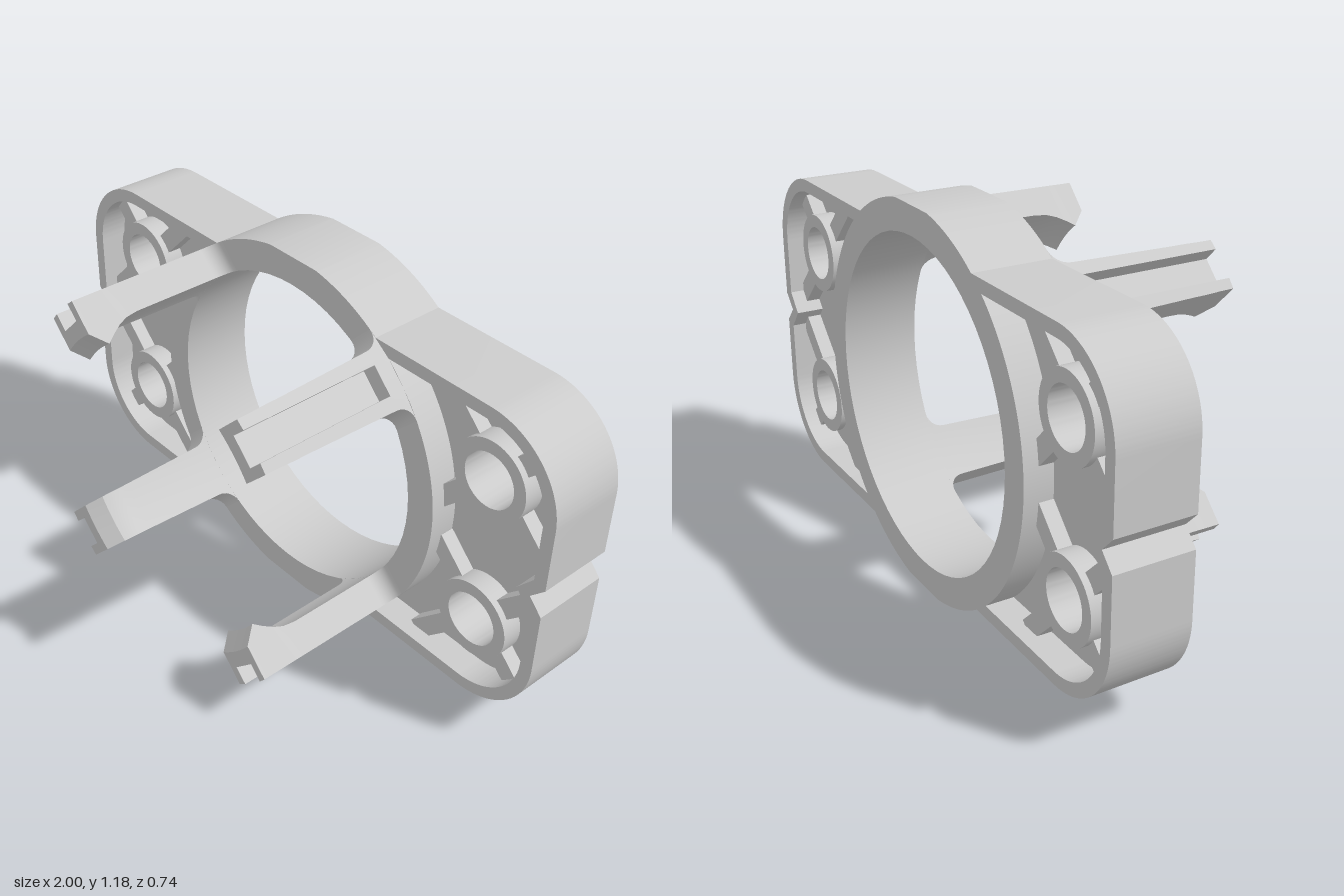
import * as THREE from 'three';
import { toCreasedNormals } from 'three/addons/utils/BufferGeometryUtils.js';

const PI = Math.PI;
const BACK = -0.37, FRONT = -0.13;       // depth range of the frame
const BORE = 0.505, RING = 0.6;          // inner and outer ring radius
const HALF_H = 0.495, TOP = 0.5925;      // half heights of the ears and of the ring
const material = new THREE.MeshStandardMaterial({ color: 0xcccccc });

function extrude(name, shape, z0, z1) {
  const geo = new THREE.ExtrudeGeometry(shape, { depth: z1 - z0, bevelEnabled: false, curveSegments: 32 });
  geo.translate(0, 0, z0);
  const mesh = new THREE.Mesh(toCreasedNormals(geo, 0.5), material);
  mesh.name = name;
  return mesh;
}

function circlePath(x, y, r, Type = THREE.Path) {
  const p = new Type();
  p.absarc(x, y, r, 0, 2 * PI, false);
  return p;
}

// Ring with a rounded, notched mounting ear on each side
function outline() {
  const a0 = Math.asin(HALF_H / RING), a1 = Math.asin(TOP / RING);
  const cx = 0.75, cy = 0.245, r = 0.25, n = 0.0475;
  const s = new THREE.Shape();
  s.moveTo(0.955, 0);
  s.lineTo(1, n);
  s.absarc(cx, cy, r, 0, PI / 2, false);
  s.absarc(0, 0, RING, a0, a1, false);
  s.absarc(0, 0, RING, PI - a1, PI - a0, false);
  s.absarc(-cx, cy, r, PI / 2, PI, false);
  s.lineTo(-1, n);
  s.lineTo(-0.955, 0);
  s.lineTo(-1, -n);
  s.absarc(-cx, -cy, r, PI, 1.5 * PI, false);
  s.absarc(0, 0, RING, PI + a0, PI + a1, false);
  s.absarc(0, 0, RING, 2 * PI - a1, 2 * PI - a0, false);
  s.absarc(cx, -cy, r, 1.5 * PI, 2 * PI, false);
  s.lineTo(1, -n);
  s.closePath();
  return s;
}

// Recess in one ear, inside its rim
function pocketPoints(side) {
  const h = HALF_H - 0.04, a = Math.asin(h / RING), r = 0.21;
  const s = new THREE.Shape();
  s.moveTo(RING * Math.cos(a), -h);
  s.absarc(0.75, r - h, r, 1.5 * PI, 2 * PI, false);
  s.lineTo(0.96, -0.06);
  s.lineTo(0.91, 0);
  s.lineTo(0.96, 0.06);
  s.absarc(0.75, h - r, r, 0, PI / 2, false);
  s.absarc(0, 0, RING, a, -a, true);
  return s.getPoints(24).map(p => new THREE.Vector2(p.x * side, p.y));
}

// Snap arm lofted along z: curved inner face, channel in the outer face, hook at the tip
function clipGeometry() {
  const slices = [];                      // [z, inner radius, half width, channel depth]
  for (let i = 0; i <= 6; i++) {          // flared root
    const t = Math.cos((i / 6) * PI / 2);
    slices.push([-0.08 - 0.05 * t, BORE, 0.088 + 0.05 * (1 - Math.sqrt(1 - t * t)), 0]);
  }
  slices.push([-0.079, BORE, 0.088, 0], [-0.079, BORE, 0.088, 0.055]);
  slices.push([0.2, BORE, 0.081, 0.055], [0.24, 0.5, 0.08, 0.055], [0.27, 0.488, 0.08, 0.055],
    [0.3, 0.469, 0.079, 0.055], [0.325, 0.45, 0.078, 0.055], [0.37, 0.497, 0.0775, 0.055]);

  const N = 10, w = 0.046;
  const section = ([z, rIn, hw, d]) => {
    const at = (u, r, drop = 0) => new THREE.Vector3(u, Math.sqrt(r * r - u * u) - drop, z);
    const pts = [at(hw, RING), at(w, RING), at(w, RING, d), at(-w, RING, d), at(-w, RING), at(-hw, RING)];
    for (let i = 0; i <= N; i++) pts.push(at(hw * (2 * i / N - 1), rIn));
    return pts;
  };
  const rings = slices.map(section), pos = [];
  const tri = (...v) => v.forEach(p => pos.push(p.x, p.y, p.z));
  for (let s = 0; s < rings.length - 1; s++) {
    const A = rings[s], B = rings[s + 1];
    A.forEach((p, i) => {
      const j = (i + 1) % A.length;
      tri(p, A[j], B[j]);
      tri(p, B[j], B[i]);
    });
  }
  const tip = rings[rings.length - 1];
  const flat = tip.map(p => new THREE.Vector2(p.x, p.y));
  THREE.ShapeUtils.triangulateShape(flat, []).forEach(f => tri(...f.map(i => tip[i])));
  const geo = new THREE.BufferGeometry();
  geo.setAttribute('position', new THREE.Float32BufferAttribute(pos, 3));
  return toCreasedNormals(geo, 0.5);
}

export function createModel() {
  const model = new THREE.Group();
  model.name = 'mountingBracket';
  const body = new THREE.Group();
  body.name = 'bracketBody';
  body.position.y = TOP;
  model.add(body);

  // Frame: outer wall and ring
  const frame = outline();
  frame.holes.push(circlePath(0, 0, BORE));
  for (const side of [1, -1]) frame.holes.push(new THREE.Path(pocketPoints(side)));
  body.add(extrude('frame', frame, BACK, FRONT));

  for (const side of [1, -1]) {
    const label = side > 0 ? 'left' : 'right';
    // Thin web halfway through the ear
    const web = new THREE.Shape(pocketPoints(side));
    for (const v of [1, -1]) web.holes.push(circlePath(side * 0.755, v * 0.25, 0.1));
    body.add(extrude(label + 'Web', web, BACK + 0.09, FRONT - 0.09));

    for (const v of [1, -1]) {
      // Screw boss
      const x = side * 0.755, y = v * 0.25;
      const boss = circlePath(x, y, 0.125, THREE.Shape);
      boss.holes.push(circlePath(x, y, 0.085));
      body.add(extrude(label + 'ScrewBoss', boss, BACK + 0.025, FRONT - 0.025));

      // Diagonal ribs: [x direction, y direction, reach]
      for (const [dx, dy, reach] of [[1, 1, 0.225], [-1, 1, 0.305], [-1, -1, 0.25], [1, -1, 0.285]]) {
        const start = 0.11, mid = (start + reach) / 2 * Math.SQRT1_2;
        const rib = new THREE.Mesh(new THREE.BoxGeometry(reach - start, 0.06, 0.15), material);
        rib.name = label + 'Rib';
        rib.position.set(x + side * dx * mid, y + v * dy * mid, (BACK + FRONT) / 2);
        rib.rotation.z = Math.atan2(v * dy, side * dx);
        body.add(rib);
      }
    }
  }

  // Four snap arms around the bore
  const arm = clipGeometry();
  for (let k = 0; k < 4; k++) {
    const clip = new THREE.Mesh(arm, material);
    clip.name = 'snapArm';
    clip.rotation.z = PI / 4 + k * PI / 2;
    body.add(clip);
  }
  return model;
}
